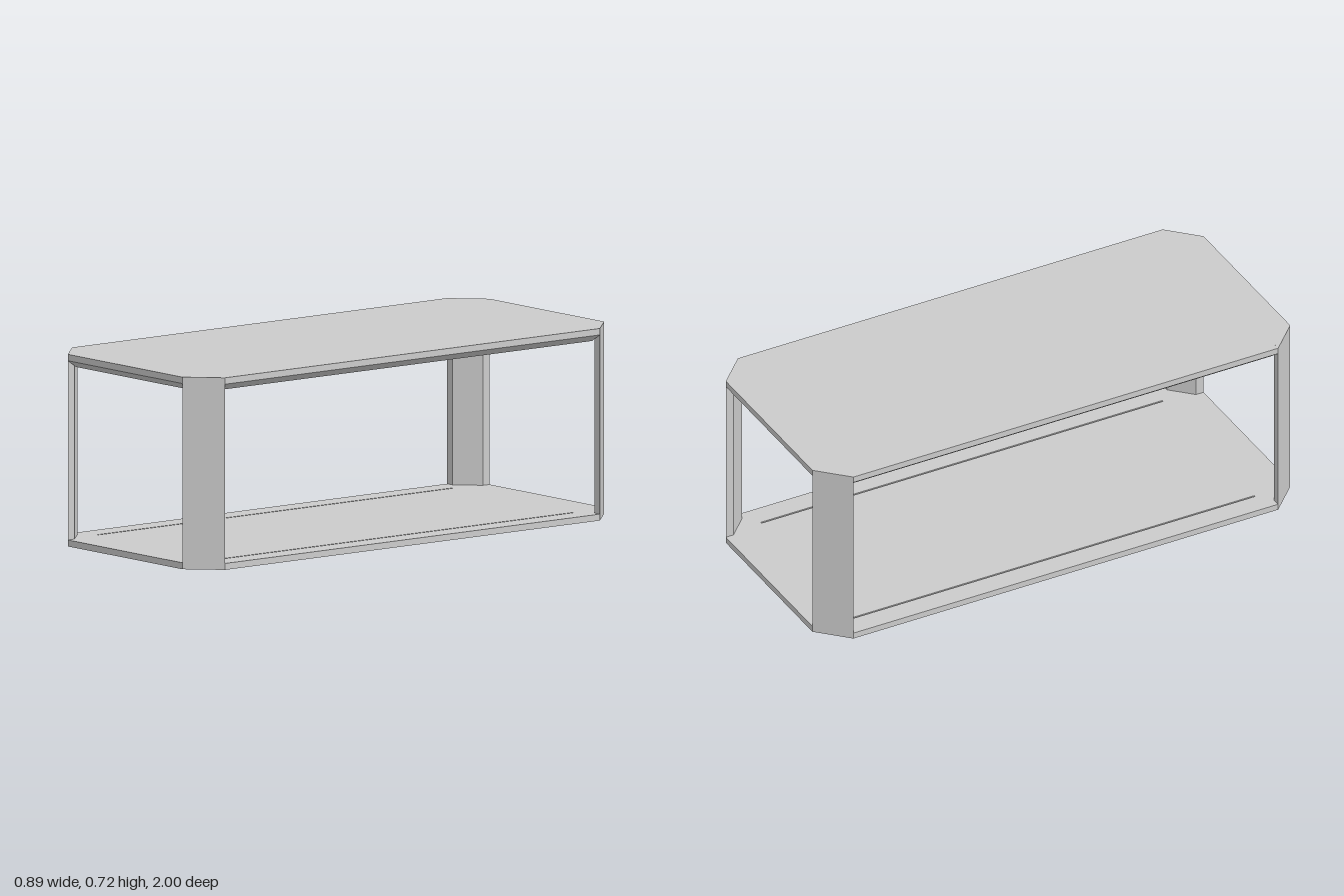
import * as THREE from 'three';

const HALF_X = 0.445, HALF_Z = 1, CUT = 0.111;
const HEIGHT = 0.716, SLAB = 0.024, RIM_BOTTOM = 0.667;
const material = new THREE.MeshStandardMaterial({ color: 0xcccccc, flatShading: true });

// Rectangle with cut corners, moved inwards by d, counterclockwise
function octagon(d = 0) {
  const a = HALF_X - d, b = HALF_Z - d, c = CUT - d * (2 - Math.SQRT2);
  return [
    [a, -b + c], [a, b - c], [a - c, b], [-a + c, b],
    [-a, b - c], [-a, -b + c], [-a + c, -b], [a - c, -b],
  ].map(([x, y]) => new THREE.Vector2(x, y));
}

// Plan outline raised from y0 to y1
function raise(shape, y0, y1) {
  return new THREE.ExtrudeGeometry(shape, { depth: y1 - y0, bevelEnabled: false })
    .rotateX(-Math.PI / 2).translate(0, y0, 0);
}

// Frame swept round the octagon; profile is a list of [inset, y]
function octagonFrame(profile) {
  const rings = profile.map(([d, y]) => octagon(d).map(p => new THREE.Vector3(p.x, y, -p.y)));
  const points = [];
  for (let j = 0; j < rings.length - 1; j++) {
    for (let i = 0; i < 8; i++) {
      const k = (i + 1) % 8, up = rings[j], low = rings[j + 1];
      points.push(low[i], low[k], up[k], low[i], up[k], up[i]);
    }
  }
  const geometry = new THREE.BufferGeometry().setFromPoints(points);
  geometry.computeVertexNormals();
  return geometry;
}

export function createModel() {
  const model = new THREE.Group();
  const add = (name, geometry) => {
    const mesh = new THREE.Mesh(geometry, material);
    mesh.name = name;
    model.add(mesh);
    return mesh;
  };

  // Floor: solid base and a top layer cut by two long, narrow grooves
  const grooveBase = SLAB - 0.006;
  add('floorBase', raise(new THREE.Shape(octagon()), 0, grooveBase));
  const floorTop = new THREE.Shape(octagon());
  for (const side of [-1, 1]) {
    const x = side * 0.356, w = 0.003, l = 0.84;
    floorTop.holes.push(new THREE.Path([
      new THREE.Vector2(x - w, -l), new THREE.Vector2(x - w, l),
      new THREE.Vector2(x + w, l), new THREE.Vector2(x + w, -l),
    ]));
  }
  add('groovedFloor', raise(floorTop, grooveBase, SLAB));

  // Top slab and the sloping rim under its edge
  const ceiling = HEIGHT - SLAB;
  add('topPanel', raise(new THREE.Shape(octagon()), ceiling, HEIGHT));
  add('topRim', octagonFrame([
    [0, ceiling], [0.03, RIM_BOTTOM], [0.045, RIM_BOTTOM], [0.055, ceiling],
  ]));

  // Corner posts: flat plates across the cut corners
  const t = 0.032;
  for (const sx of [-1, 1]) {
    for (const sz of [-1, 1]) {
      const post = new THREE.Shape([
        [HALF_X, HALF_Z - CUT], [HALF_X - CUT, HALF_Z],
        [HALF_X - CUT, HALF_Z - t], [HALF_X - t, HALF_Z - CUT],
      ].map(([x, z]) => new THREE.Vector2(sx * x, -sz * z)));
      add('cornerPost', raise(post, 0, HEIGHT));
    }
  }

  // Ceiling rail along the middle with round end caps
  const rail = add('ceilingRail', new THREE.BoxGeometry(0.022, 0.012, 1.84));
  rail.position.y = ceiling - 0.006;
  for (const end of [-1, 1]) {
    const cap = add('railEnd', new THREE.CylinderGeometry(0.017, 0.017, 0.014, 16));
    cap.position.set(0, ceiling - 0.007, end * 0.915);
  }

  return model;
}
